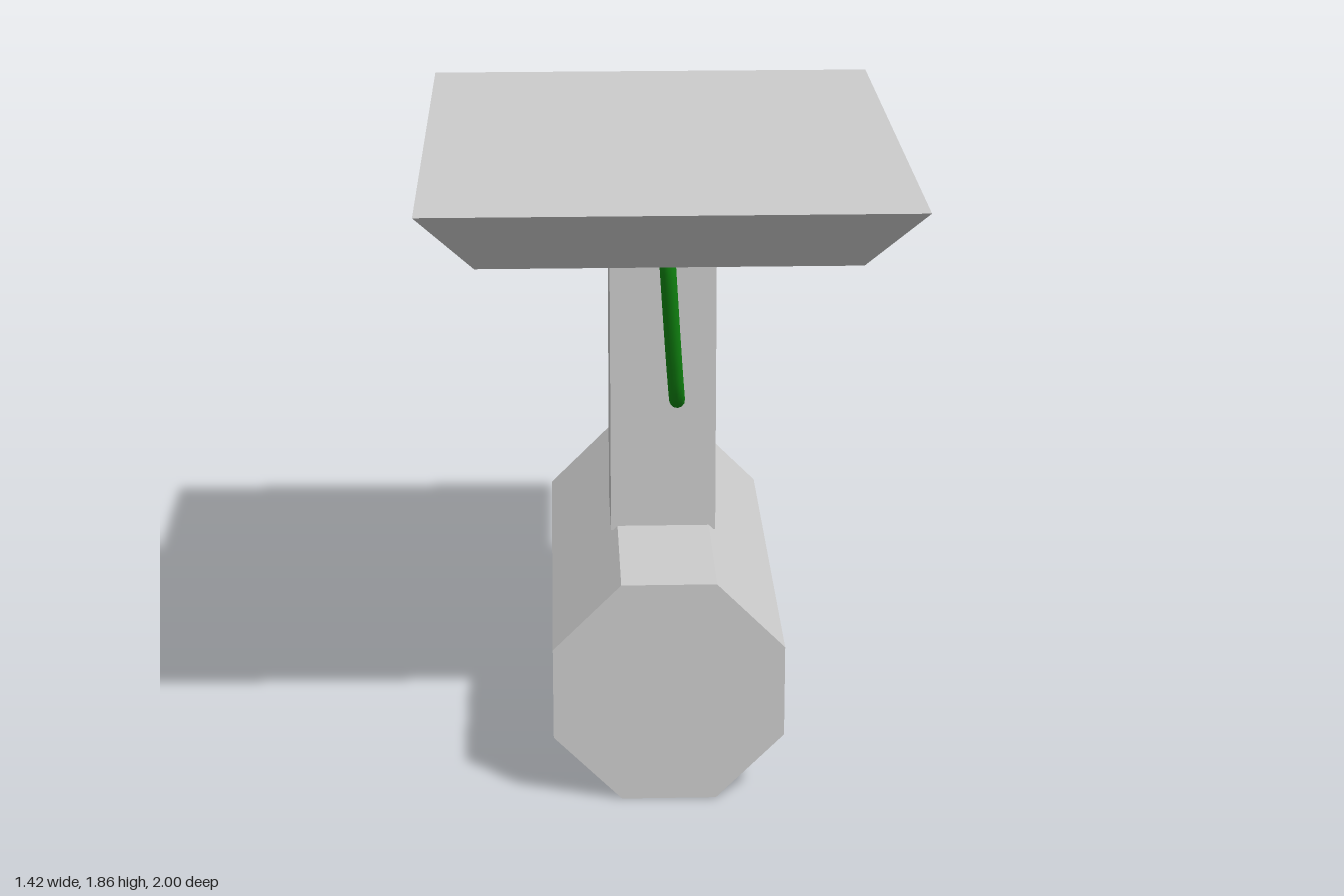
import * as THREE from 'three';

const paint = (color) => new THREE.MeshStandardMaterial({ color, flatShading: true });

// Joins convex rings of points; rings run counter-clockwise seen from the last ring's end.
function loft(rings) {
  const n = rings[0].length;
  const index = [];
  for (let r = 0; r < rings.length - 1; r++) {
    for (let i = 0; i < n; i++) {
      const a = r * n + i, b = r * n + (i + 1) % n;
      index.push(a, b, b + n, a, b + n, a + n);
    }
  }
  const last = (rings.length - 1) * n;
  for (let i = 1; i < n - 1; i++) {
    index.push(0, i + 1, i, last, last + i, last + i + 1);
  }
  const geometry = new THREE.BufferGeometry();
  geometry.setAttribute('position', new THREE.Float32BufferAttribute(rings.flat(2), 3));
  geometry.setIndex(index);
  const flat = geometry.toNonIndexed();
  flat.computeVertexNormals();
  return flat;
}

// Chamfered square outline around the housing axis.
const AXIS_Y = 0.342;
function octagon(scale, z) {
  const w = 0.342 * scale, f = 0.14 * scale;
  return [[w, -f], [w, f], [f, w], [-f, w], [-w, f], [-w, -f], [-f, -w], [f, -w]]
    .map(([x, y]) => [x, y + AXIS_Y, z]);
}

// Horizontal rectangle, counter-clockwise from above.
const rectangle = (x, y, zBack, zFront) =>
  [[-x, y, zFront], [x, y, zFront], [x, y, zBack], [-x, y, zBack]];

export function createModel() {
  const model = new THREE.Group();
  model.name = 'securityCamera';
  const grey = paint(0xcccccc);
  const black = paint(0x1a1a1a);

  function add(name, geometry, material, x = 0, y = 0, z = 0) {
    const mesh = new THREE.Mesh(geometry, material);
    mesh.name = name;
    mesh.position.set(x, y, z);
    model.add(mesh);
    return mesh;
  }

  // Mounting plate, flaring upwards
  add('mountingPlate', loft([
    rectangle(0.55, 1.65, -0.65, 0.79),
    rectangle(0.71, 1.855, -0.865, 1.0),
  ]), grey);

  // Support post
  add('post', new THREE.BoxGeometry(0.32, 0.98, 0.32), grey, 0, 1.16, 0.12);

  // Octagonal housing with a bevelled lens end
  add('housing', loft([octagon(0.91, -0.73), octagon(1, -0.69), octagon(1, 0.775)]), grey);

  // Lens barrel with a rim, and the glass inside it
  const barrel = new THREE.LatheGeometry([
    [0.207, 0], [0.207, 0.27], [0.14, 0.27], [0.14, 0.25],
  ].map(([r, y]) => new THREE.Vector2(r, y)), 20);
  black.side = THREE.DoubleSide;
  add('lensBarrel', barrel, black, 0, AXIS_Y, -0.73).rotation.x = -Math.PI / 2;
  add('lensGlass', new THREE.CircleGeometry(0.14, 20), paint(0x999999), 0, AXIS_Y, -0.99)
    .rotation.y = Math.PI;

  // Small sensor beside the lens
  add('sensor', new THREE.BoxGeometry(0.05, 0.06, 0.04), grey, 0.17, 0.155, -0.74);

  // Cable drooping from the plate into the post
  const path = new THREE.CatmullRomCurve3([
    [0, 1.67, 0.545], [0.003, 1.6, 0.545], [0.013, 1.45, 0.5], [0.028, 1.245, 0.415],
    [0.038, 1.127, 0.345], [0.042, 1.09, 0.285], [0.042, 1.09, 0.25],
  ].map((p) => new THREE.Vector3(...p)));
  add('cable', new THREE.TubeGeometry(path, 40, 0.024, 12),
    new THREE.MeshStandardMaterial({ color: 0x118811 }));

  return model;
}
